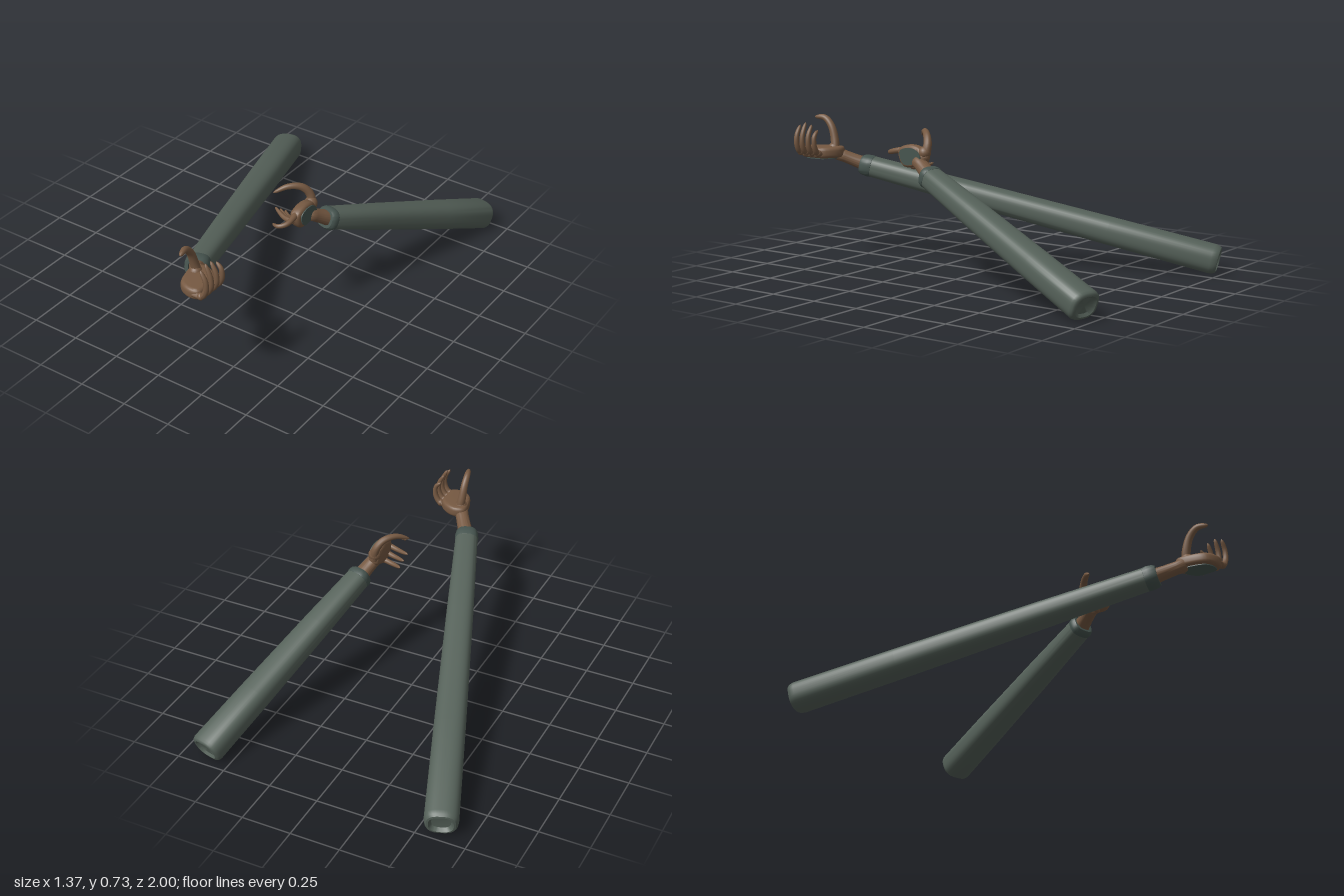
import * as THREE from 'three';
import { toCreasedNormals } from 'three/addons/utils/BufferGeometryUtils.js';

const sleeveMat = new THREE.MeshStandardMaterial({ name: 'sleeve grey green', color: 0x56625a });
const cuffMat = new THREE.MeshStandardMaterial({ name: 'cuff dark green', color: 0x46544f });
const skinMat = new THREE.MeshStandardMaterial({ name: 'hand brown', color: 0x765942 });

const V = (p) => new THREE.Vector3(...p);

function add(parent, name, geometry, material) {
  const mesh = new THREE.Mesh(geometry, material);
  mesh.name = name;
  parent.add(mesh);
  return mesh;
}

// Lathe along a -> b whose round section is pushed towards a soft square.
// Profile entries are [radius, distance from a as a fraction].
function limb(a, b, profile, flat = 0.9, power = 2.7) {
  const start = V(a), dir = V(b).sub(start), len = dir.length();
  dir.normalize();
  const geo = new THREE.LatheGeometry(profile.map(([r, t]) => new THREE.Vector2(r, t * len)), 40);
  const pos = geo.attributes.position;
  for (let i = 0; i < pos.count; i++) {
    const x = pos.getX(i), z = pos.getZ(i), r = Math.hypot(x, z);
    if (r < 1e-6) continue;
    const k = 1 / Math.pow(Math.pow(Math.abs(x / r), power) + Math.pow(Math.abs(z / r), power), 1 / power);
    pos.setX(i, x * k);
    pos.setZ(i, z * k * flat);
  }
  const side = new THREE.Vector3().crossVectors(dir, new THREE.Vector3(0, 1, 0)).normalize();
  const up = new THREE.Vector3().crossVectors(side, dir);
  geo.applyMatrix4(new THREE.Matrix4().makeBasis(side, dir, up).setPosition(start));
  return toCreasedNormals(geo, 0.7);
}

// Tapered tube with a rounded tip
function finger(points, radius, taper = 0.4) {
  const curve = new THREE.CatmullRomCurve3(points.map(V));
  const rings = 24, sides = 12;
  const geo = new THREE.TubeGeometry(curve, rings, radius, sides);
  const pos = geo.attributes.position, v = new THREE.Vector3();
  for (let i = 0; i <= rings; i++) {
    const t = i / rings, c = curve.getPointAt(t);
    const s = (1 - taper * t) * Math.sqrt(Math.max(1 - Math.pow(t, 10), 0.0004));
    for (let j = 0; j <= sides; j++) {
      const n = i * (sides + 1) + j;
      v.fromBufferAttribute(pos, n).sub(c).multiplyScalar(s).add(c);
      pos.setXYZ(n, v.x, v.y, v.z);
    }
  }
  geo.computeVertexNormals();
  return geo;
}

// Bevelled slab from an outline, lying between depth d0 and d1
function slab(outline, d0, d1, bevel) {
  const curve = new THREE.CatmullRomCurve3(outline.map(([x, y]) => new THREE.Vector3(x, y, 0)), true);
  const shape = new THREE.Shape(curve.getPoints(36).slice(0, -1).map((p) => new THREE.Vector2(p.x, p.y)));
  const geo = new THREE.ExtrudeGeometry(shape, {
    depth: d1 - d0 - 2 * bevel, bevelEnabled: bevel > 0, bevelThickness: bevel,
    bevelSize: bevel, bevelOffset: -bevel, bevelSegments: 4,
  });
  geo.translate(0, 0, d0 + bevel);
  return toCreasedNormals(geo, 0.7);
}

function shrink(outline, k) {
  const n = outline.length;
  const cx = outline.reduce((s, p) => s + p[0], 0) / n, cy = outline.reduce((s, p) => s + p[1], 0) / n;
  return outline.map(([x, y]) => [cx + (x - cx) * k, cy + (y - cy) * k]);
}

// Sleeve with rounded rear end and a cuff, plus the wrist
function forearm(name, back, front, hand) {
  const arm = new THREE.Group();
  arm.name = name;
  add(arm, 'sleeve', limb(back, front, [
    [0, 0.012], [0.045, 0.01], [0.058, 0], [0.068, 0.001], [0.076, 0.007], [0.08, 0.018],
    [0.076, 0.3], [0.067, 0.7], [0.058, 0.975], [0.055, 0.99], [0.05, 1], [0, 1],
  ]), sleeveMat);
  const a = V(back), b = V(front), at = (t) => a.clone().lerp(b, t).toArray();
  add(arm, 'cuff', limb(at(0.972), at(1.008), [
    [0.05, 0], [0.059, 0.1], [0.061, 0.4], [0.057, 0.8], [0.05, 1], [0.036, 1], [0.034, 0.6],
  ]), cuffMat);
  add(arm, 'wrist', limb(at(0.985), hand, [
    [0, 0], [0.042, 0.02], [0.036, 0.4], [0.034, 0.7], [0.036, 0.9], [0.026, 1], [0, 1.03],
  ], 0.9, 2.2), skinMat);
  return arm;
}

export function createModel() {
  const model = new THREE.Group();
  model.name = 'pair of arms';

  // Right arm, palm turned up
  const right = forearm('rightArm', [-0.617, 0.08, -0.97], [0.037, 0.49, 0.735], [0.13, 0.555, 0.86]);
  const rightOutline = [[0.095, 0.82], [0.155, 0.8], [0.235, 0.85], [0.245, 0.92], [0.238, 0.985],
    [0.19, 0.997], [0.13, 0.97], [0.1, 0.9]];
  add(right, 'palm', slab(rightOutline, -0.588, -0.532, 0.018).rotateX(Math.PI / 2), skinMat);
  add(right, 'backOfHandPlate', slab(shrink(rightOutline, 0.75), -0.535, -0.527, 0).rotateX(Math.PI / 2), cuffMat);
  [0.865, 0.905, 0.945, 0.982].forEach((z, i) => {
    const h = [0.68, 0.705, 0.715, 0.7][i];
    add(right, 'finger', finger([[0.21, 0.558, z], [0.255, 0.562, z], [0.279, 0.6, z],
      [0.278, 0.65, z], [0.25, h, z]], 0.0165, 0.35), skinMat);
    const knuckle = add(right, 'knuckle', new THREE.SphereGeometry(0.018, 14, 10), skinMat);
    knuckle.position.set(0.25, 0.56, z);
  });
  add(right, 'thumb', finger([[0.135, 0.555, 0.85], [0.125, 0.62, 0.86], [0.122, 0.69, 0.885],
    [0.125, 0.728, 0.925], [0.14, 0.73, 0.98]], 0.024, 0.4), skinMat);
  add(right, 'thumbBase', new THREE.SphereGeometry(0.032, 18, 12), skinMat)
    .position.set(0.13, 0.575, 0.86);
  model.add(right);

  // Left arm, palm turned inward
  const left = forearm('leftArm', [0.612, 0.08, -0.972], [0.33, 0.525, 0.1], [0.288, 0.59, 0.2]);
  const leftOutline = [[0.145, 0.575], [0.2, 0.555], [0.27, 0.55], [0.3, 0.585], [0.305, 0.635],
    [0.26, 0.658], [0.19, 0.655], [0.145, 0.62]];
  add(left, 'palm', slab(leftOutline, -0.312, -0.256, 0.02).rotateY(-Math.PI / 2), skinMat);
  add(left, 'backOfHandPlate', slab(shrink(leftOutline, 0.75), -0.317, -0.309, 0).rotateY(-Math.PI / 2), cuffMat);
  add(left, 'thumb', finger([[0.285, 0.6, 0.155], [0.27, 0.665, 0.15], [0.24, 0.708, 0.178],
    [0.195, 0.717, 0.225], [0.145, 0.69, 0.275]], 0.024, 0.55), skinMat);
  add(left, 'thumbBase', new THREE.SphereGeometry(0.032, 18, 12), skinMat)
    .position.set(0.282, 0.625, 0.16);
  add(left, 'indexFinger', finger([[0.28, 0.632, 0.27], [0.288, 0.625, 0.32], [0.283, 0.615, 0.365],
    [0.255, 0.607, 0.39], [0.215, 0.603, 0.382]], 0.0165, 0.45), skinMat);
  for (let i = 0; i < 3; i++) {
    const y = 0.605 - i * 0.023, z = 0.29 - i * 0.032;
    add(left, 'finger', finger([[0.285, y, z - 0.02], [0.27, y - 0.008, z + 0.012],
      [0.225, y - 0.012, z + 0.005], [0.185, y - 0.008, z - 0.012], [0.148 + i * 0.006, y, z - 0.03]],
    0.0165, 0.5), skinMat);
  }
  model.add(left);

  return model;
}
